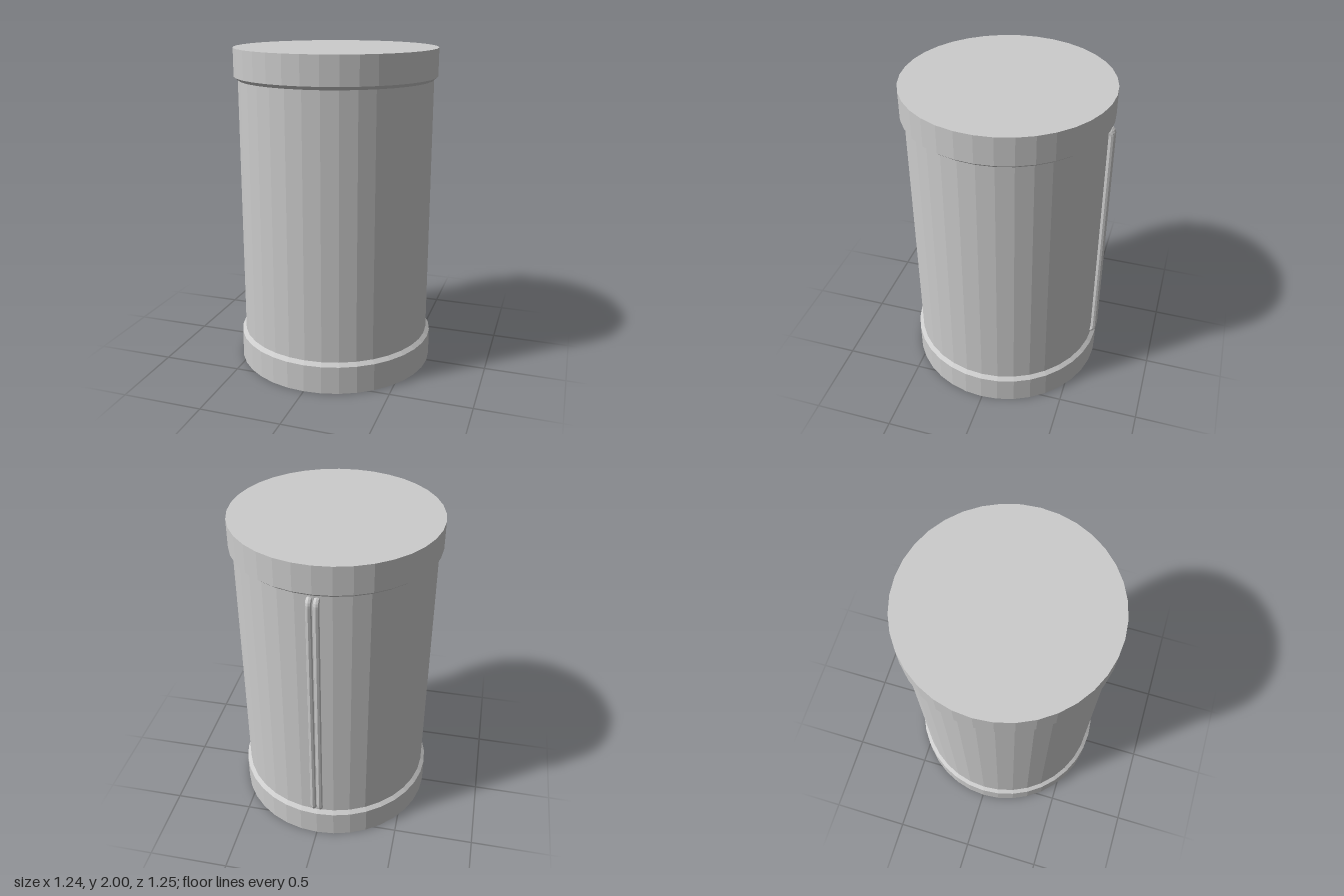
import * as THREE from 'three';

const SIDES = 36;
const CAP_R = 0.622;
const BODY_R = 0.598;

export function createModel() {
  const model = new THREE.Group();
  model.name = 'canister';
  const material = new THREE.MeshStandardMaterial({ color: 0xcccccc, flatShading: true });

  const add = (name, geometry) => {
    const mesh = new THREE.Mesh(geometry, material);
    mesh.name = name;
    model.add(mesh);
    return mesh;
  };
  const lathe = (profile) => new THREE.LatheGeometry(
    profile.map(([r, y]) => new THREE.Vector2(r, y)), SIDES);

  // Faceted drum, shifted slightly forward to balance the rear cables
  const zShift = 0.005;
  const parts = {
    body: [[BODY_R, 0.19], [BODY_R, 1.82]],
    bottomCap: [[0, 0], [CAP_R, 0], [CAP_R, 0.174], [BODY_R - 0.003, 0.197]],
    topCap: [[BODY_R - 0.003, 1.807], [CAP_R, 1.83], [CAP_R, 2], [0, 2]],
  };
  for (const [name, profile] of Object.entries(parts)) {
    add(name, lathe(profile)).position.z = zShift;
  }

  // Twin cables down the back, each end bending into the drum
  const tubeR = 0.018;
  const zOut = -0.609;
  const zIn = -0.565;
  const [yLow, yHigh, bend] = [0.217, 1.787, 0.035];
  for (const side of [-1, 1]) {
    const at = (y, z) => new THREE.Vector3(side * 0.021, y, z);
    const path = new THREE.CurvePath();
    path.add(new THREE.QuadraticBezierCurve3(at(yLow, zIn), at(yLow, zOut), at(yLow + bend, zOut)));
    path.add(new THREE.LineCurve3(at(yLow + bend, zOut), at(yHigh - bend, zOut)));
    path.add(new THREE.QuadraticBezierCurve3(at(yHigh - bend, zOut), at(yHigh, zOut), at(yHigh, zIn)));
    add(side > 0 ? 'leftCable' : 'rightCable', new THREE.TubeGeometry(path, 140, tubeR, 8));
  }
  return model;
}
